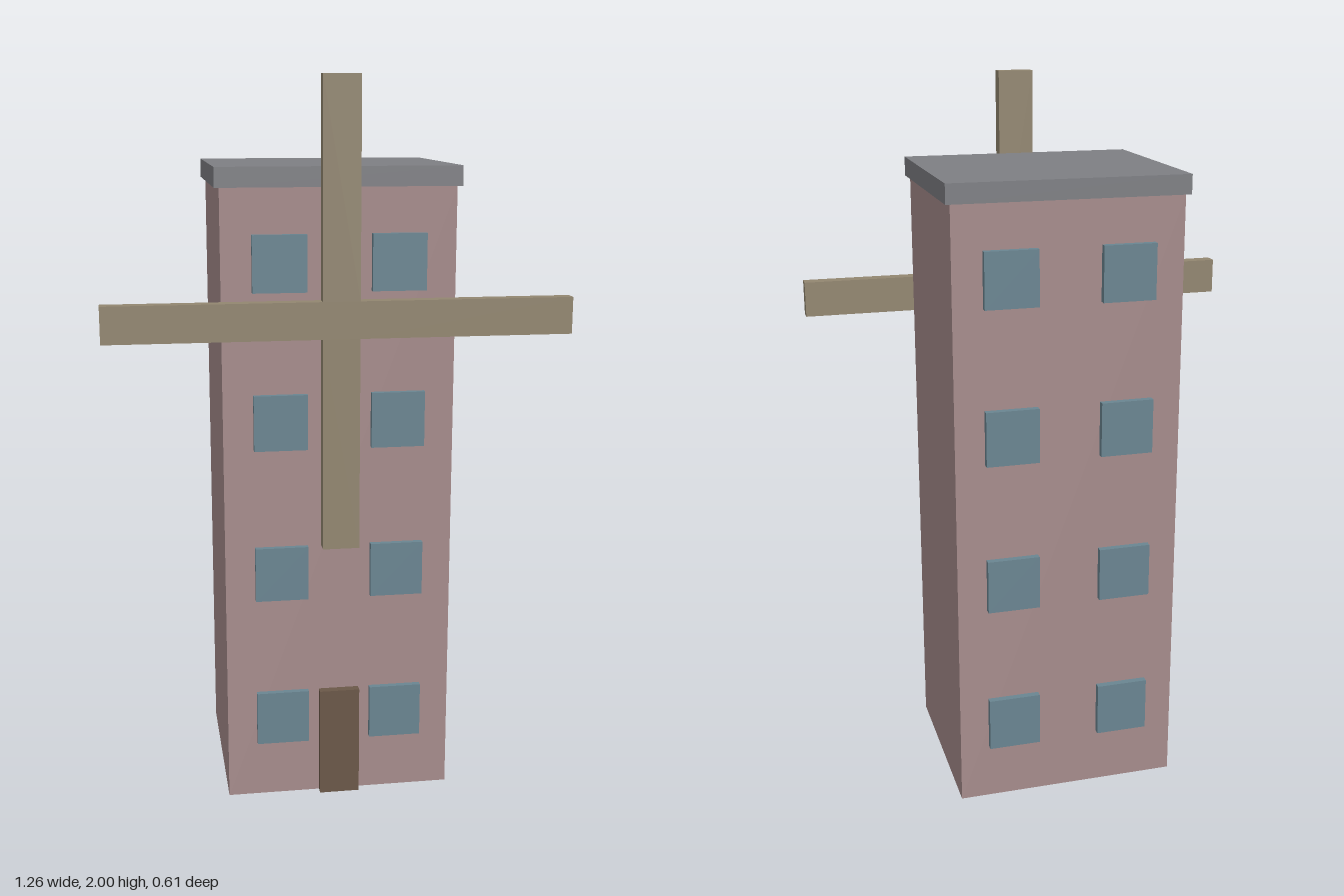
import * as THREE from 'three';

export function createModel() {
  const model = new THREE.Group();
  model.name = 'millTower';

  const material = (name, color) => {
    const m = new THREE.MeshStandardMaterial({ color });
    m.name = name;
    return m;
  };
  const wall = material('dustyPinkWall', 0xa68c8c);
  const slate = material('greyRoof', 0x7e7f83);
  const glass = material('blueGlass', 0x6a8591);
  const timber = material('paleTimber', 0x928670);
  const darkWood = material('darkWood', 0x6b5848);

  // Box given by its lower and upper limits on each axis
  const box = (name, mat, [x0, x1], [y0, y1], [z0, z1], parent = model) => {
    const mesh = new THREE.Mesh(new THREE.BoxGeometry(x1 - x0, y1 - y0, z1 - z0), mat);
    mesh.position.set((x0 + x1) / 2, (y0 + y1) / 2, (z0 + z1) / 2);
    mesh.name = name;
    parent.add(mesh);
    return mesh;
  };

  // Tower, flat roof and door
  box('tower', wall, [-0.315, 0.315], [0, 1.715], [-0.285, 0.26]);
  box('roof', slate, [-0.328, 0.328], [1.715, 1.768], [-0.294, 0.268]);
  box('door', darkWood, [-0.056, 0.056], [0, 0.312], [0.25, 0.284]);

  // Two columns of four windows on the front and the back
  const windows = new THREE.Group();
  windows.name = 'windows';
  model.add(windows);
  for (const [side, z] of [['front', [0.254, 0.277]], ['back', [-0.304, -0.281]]]) {
    for (let floor = 0; floor < 4; floor++) {
      const y = 0.237 + floor * 0.427;
      for (const x of [-0.16, 0.16]) {
        box(side + 'Window', glass, [x - 0.073, x + 0.073], [y - 0.076, y + 0.076], z, windows);
      }
    }
  }

  // Cross-shaped sails: four equal arms in one outline
  const w = 0.05, r = 0.63;
  const outline = [];
  for (let i = 0; i < 4; i++) {
    const corners = [[r, -w], [r, w], [w, w]];
    for (const [x, y] of corners) {
      outline.push(new THREE.Vector2(x, y).rotateAround(new THREE.Vector2(), i * Math.PI / 2));
    }
  }
  const sails = new THREE.Mesh(
    new THREE.ExtrudeGeometry(new THREE.Shape(outline), { depth: 0.039, bevelEnabled: false }),
    timber
  );
  sails.position.set(0, 1.37, 0.265);
  sails.name = 'sails';
  model.add(sails);

  return model;
}
